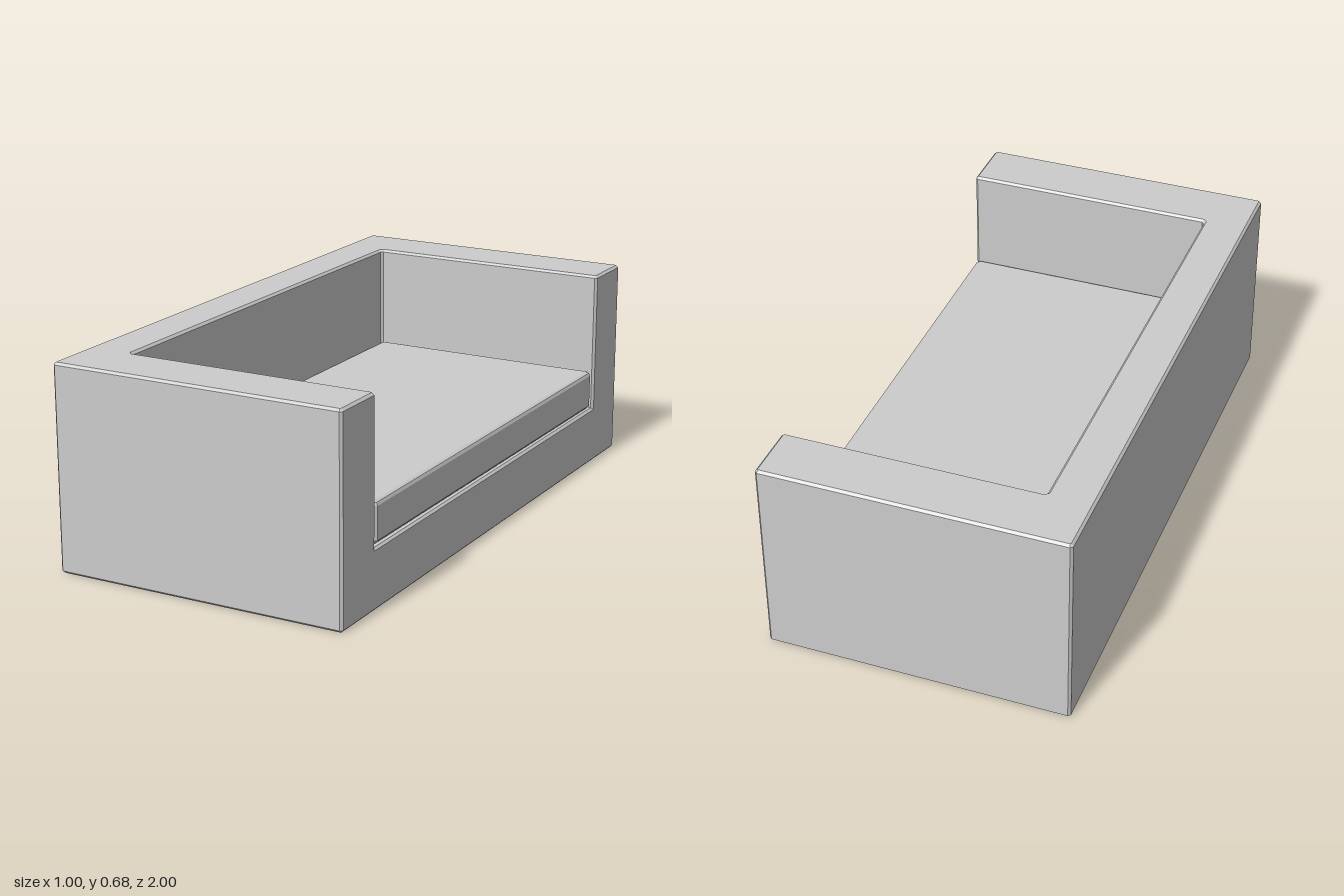
import * as THREE from 'three';

const BEVEL = 0.008;
const v2 = (x, y) => new THREE.Vector2(x, y);

// Cut every corner of a counter-clockwise outline by c
function chamfer(points, c) {
  return points.flatMap((p, i) => {
    const n = points.length;
    return [points[(i + n - 1) % n], points[(i + 1) % n]].map((q) =>
      p.clone().add(q.clone().sub(p).setLength(c)));
  });
}

// Move every edge of a counter-clockwise outline inwards by d
function inset(points, d) {
  const n = points.length;
  const normal = (a, b) => v2(a.y - b.y, b.x - a.x).normalize();
  return points.map((p, i) => {
    const n1 = normal(points[(i + n - 1) % n], p);
    const n2 = normal(p, points[(i + 1) % n]);
    return p.clone().addScaledVector(n1.clone().add(n2), d / (1 + n1.dot(n2)));
  });
}

// Upright slab through levels of [height, inset], capped at both ends; plan y points to -z
function slab(name, corners, cut, levels, material) {
  const outline = chamfer(corners.map(([x, y]) => v2(x, y)), cut);
  const rings = levels.map(([h, d]) =>
    inset(outline, d).map((p) => new THREE.Vector3(p.x, h, -p.y)));
  const tris = [];
  for (let k = 0; k + 1 < rings.length; k++) {
    const lo = rings[k], hi = rings[k + 1];
    for (let i = 0; i < lo.length; i++) {
      const j = (i + 1) % lo.length;
      tris.push(lo[i], lo[j], hi[j], lo[i], hi[j], hi[i]);
    }
  }
  const bottom = rings[0], top = rings[rings.length - 1];
  for (const [a, b, c] of THREE.ShapeUtils.triangulateShape(outline, [])) {
    tris.push(top[a], top[b], top[c], bottom[c], bottom[b], bottom[a]);
  }
  const geometry = new THREE.BufferGeometry().setFromPoints(tris);
  geometry.computeVertexNormals();
  const mesh = new THREE.Mesh(geometry, material);
  mesh.name = name;
  return mesh;
}

const rect = (x0, x1, z) => [[x0, -z], [x1, -z], [x1, z], [x0, z]];

export function createModel() {
  const group = new THREE.Group();
  group.name = 'sofa';
  const grey = new THREE.MeshStandardMaterial({ color: 0xcccccc, flatShading: true });
  const seatY = 0.2, topY = 0.678, backX = -0.35, armZ = 0.8;
  const joint = seatY - BEVEL;

  // Plinth reaching the ground, bevelled along the bottom
  group.add(slab('base', rect(-0.5, 0.5, 1), BEVEL,
    [[0, BEVEL], [BEVEL, 0], [joint, 0]], grey));

  // Platform under the cushion with a bevelled front edge
  group.add(slab('seatPlatform', rect(-0.4, 0.5, armZ + 0.015), 0.002,
    [[joint, 0], [seatY, BEVEL]], grey));

  // Back and both arms as one U-shaped wall
  const wall = [[-0.5, -1], [0.5, -1], [0.5, -armZ], [backX, -armZ],
    [backX, armZ], [0.5, armZ], [0.5, 1], [-0.5, 1]];
  group.add(slab('backAndArms', wall, BEVEL,
    [[joint, 0], [topY - BEVEL, 0], [topY, BEVEL]], grey));

  // Single seat cushion with softened edges
  const r = 0.014;
  group.add(slab('seatCushion', rect(-0.343, 0.495, 0.793), r,
    [[seatY + 0.003, r * 0.7], [seatY + r, 0], [0.337 - r, 0],
      [0.337 - r * 0.3, r * 0.3], [0.337, r]], grey));

  return group;
}
